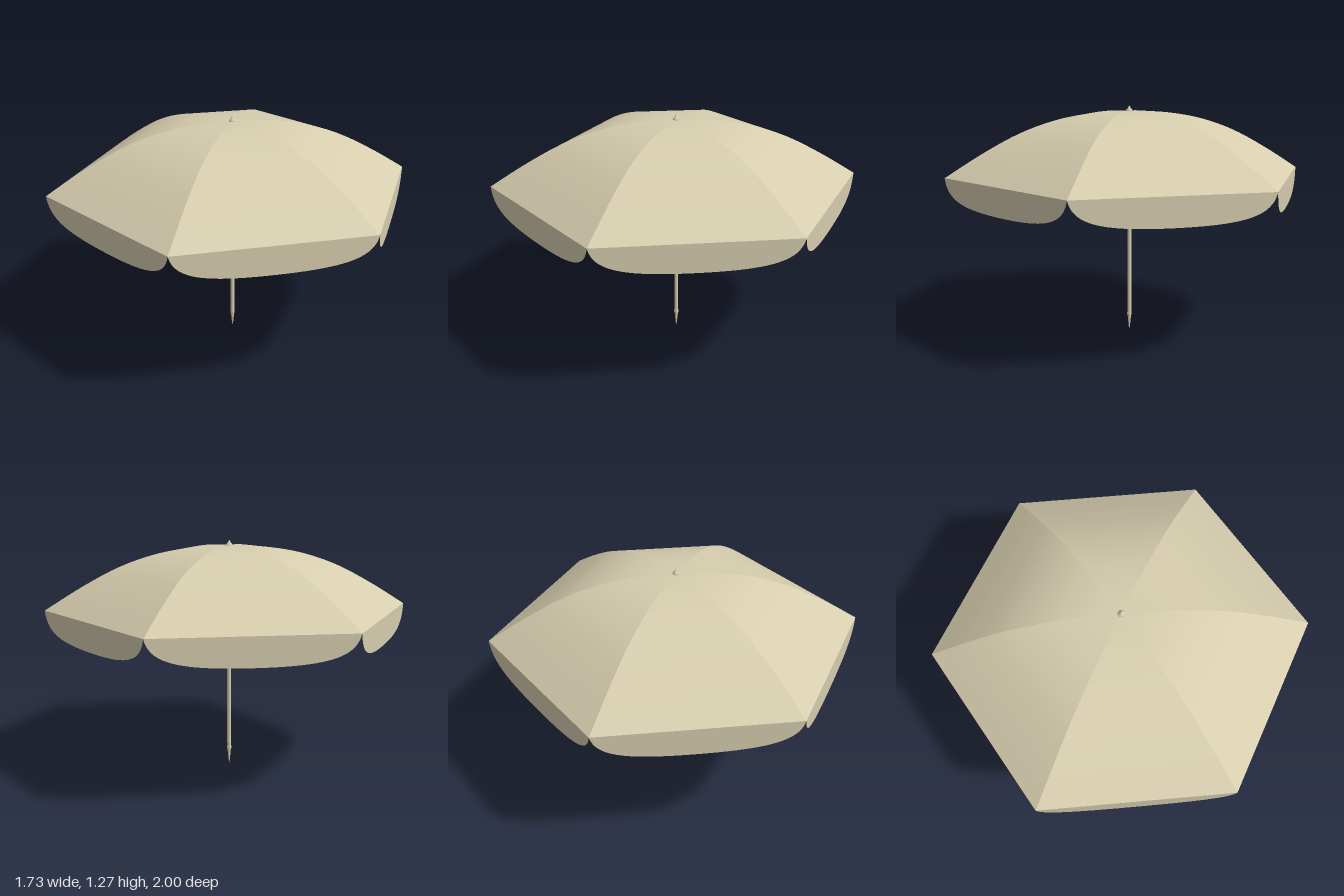
import * as THREE from 'three';

const SIDES = 6;
const RIM_Y = 0.907;
const APOTHEM = Math.cos(Math.PI / SIDES);
const HALF_SIDE = Math.sin(Math.PI / SIDES);

// Rib line: radius at the corners against height
const rib = new THREE.SplineCurve([
  [0.004, 1.245], [0.2, 1.236], [0.4, 1.202], [0.6, 1.134], [0.8, 1.03], [1, RIM_Y],
].map(([r, y]) => new THREE.Vector2(r, y)));

// One canopy gore facing +z: flat across, curved from crown to rim
function goreGeometry() {
  const rows = 28;
  const geo = new THREE.PlaneGeometry(1, 1, 1, rows);
  const pos = geo.attributes.position;
  for (let i = 0; i < pos.count; i++) {
    const side = Math.sign(pos.getX(i));
    const p = rib.getPoint(0.5 - pos.getY(i));
    pos.setXYZ(i, side * HALF_SIDE * p.x, p.y, APOTHEM * p.x);
  }
  geo.computeVertexNormals();
  return geo;
}

// Hanging flap with rounded lower corners, facing +z
function flapGeometry() {
  const w = HALF_SIDE, d = 0.148;
  const shape = new THREE.Shape();
  shape.moveTo(-w, 0);
  shape.bezierCurveTo(-0.95 * w, -0.75 * d, -0.7 * w, -d, 0, -d);
  shape.bezierCurveTo(0.7 * w, -d, 0.95 * w, -0.75 * d, w, 0);
  shape.closePath();
  return new THREE.ShapeGeometry(shape, 20).translate(0, RIM_Y, APOTHEM);
}

function turned(name, points, material) {
  const profile = points.map(([r, y]) => new THREE.Vector2(r, y));
  const mesh = new THREE.Mesh(new THREE.LatheGeometry(profile, 20), material);
  mesh.name = name;
  return mesh;
}

export function createModel() {
  const model = new THREE.Group();
  model.name = 'parasol';

  const canvas = new THREE.MeshStandardMaterial({ color: 0xd6cdae, side: THREE.DoubleSide });
  canvas.name = 'beige canvas';

  // Six gores, each with its own flap
  const gore = goreGeometry();
  const flap = flapGeometry();
  const canopy = new THREE.Group();
  canopy.name = 'canopy';
  for (let i = 0; i < SIDES; i++) {
    const panel = new THREE.Group();
    panel.name = 'canopyPanel';
    const top = new THREE.Mesh(gore, canvas);
    top.name = 'gore';
    const valance = new THREE.Mesh(flap, canvas);
    valance.name = 'flap';
    panel.add(top, valance);
    panel.rotation.y = ((i + 0.5) * 2 * Math.PI) / SIDES;
    canopy.add(panel);
  }
  model.add(canopy);

  // Pole with a spiked foot
  model.add(turned('pole', [
    [0, 0], [0.004, 0.02], [0.009, 0.075], [0.013, 0.088], [0.013, 0.096],
    [0.011, 0.105], [0.011, 1.244],
  ], canvas));

  // Finial on the crown
  model.add(turned('finial', [
    [0.018, 1.24], [0.019, 1.246], [0.017, 1.252], [0.009, 1.258], [0.005, 1.268], [0, 1.275],
  ], canvas));

  return model;
}
